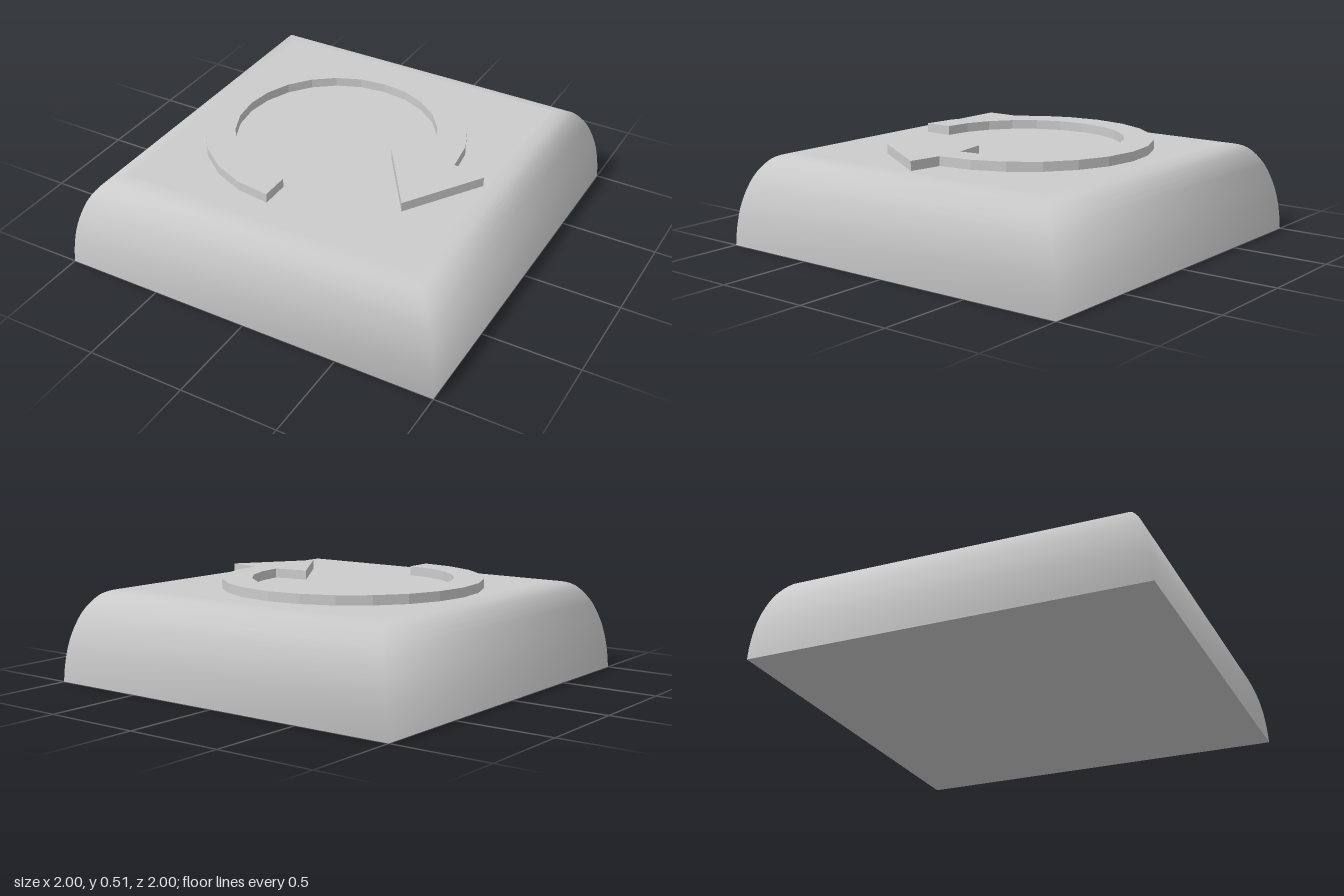
import * as THREE from 'three';

export function createModel() {
  const group = new THREE.Group();
  const material = new THREE.MeshStandardMaterial({ color: 0xcccccc });
  const add = (name, geometry) => {
    const mesh = new THREE.Mesh(geometry, material);
    mesh.name = name;
    group.add(mesh);
    return mesh;
  };

  // Square button body: a four-sided lathe with a rounded shoulder
  const profile = [
    [1, 0], [0.995, 0.08], [0.982, 0.18], [0.96, 0.27], [0.925, 0.36],
    [0.875, 0.43], [0.83, 0.458], [0.78, 0.467],
  ].map(([r, y]) => new THREE.Vector2(r * Math.SQRT2, y));
  const points = new THREE.SplineCurve(profile).getPoints(20);
  points.push(new THREE.Vector2(0, 0.468));
  add('buttonBody', new THREE.LatheGeometry(points, 4, Math.PI / 4));

  // Flat underside
  add('underside', new THREE.PlaneGeometry(2, 2).rotateX(Math.PI / 2));

  // Raised circular arrow: three quarters of a ring ending in an arrowhead
  const cx = -0.07, cy = 0.01, steps = 18;
  const arc = (radius, i) => {
    const a = -Math.PI / 2 - (i / steps) * Math.PI * 1.5;
    return new THREE.Vector2(cx + radius * Math.cos(a), cy + radius * Math.sin(a));
  };
  const outline = [];
  for (let i = 0; i <= steps; i++) outline.push(arc(0.66, i));
  for (const [x, y] of [[0.76, -0.02], [0.515, -0.4], [0.26, -0.02]]) {
    outline.push(new THREE.Vector2(x, y));
  }
  for (let i = steps; i >= 0; i--) outline.push(arc(0.51, i));

  const arrow = new THREE.ExtrudeGeometry(new THREE.Shape(outline), { depth: 0.055, bevelEnabled: false });
  arrow.rotateX(-Math.PI / 2);
  add('circularArrow', arrow).position.y = 0.46;

  return group;
}
